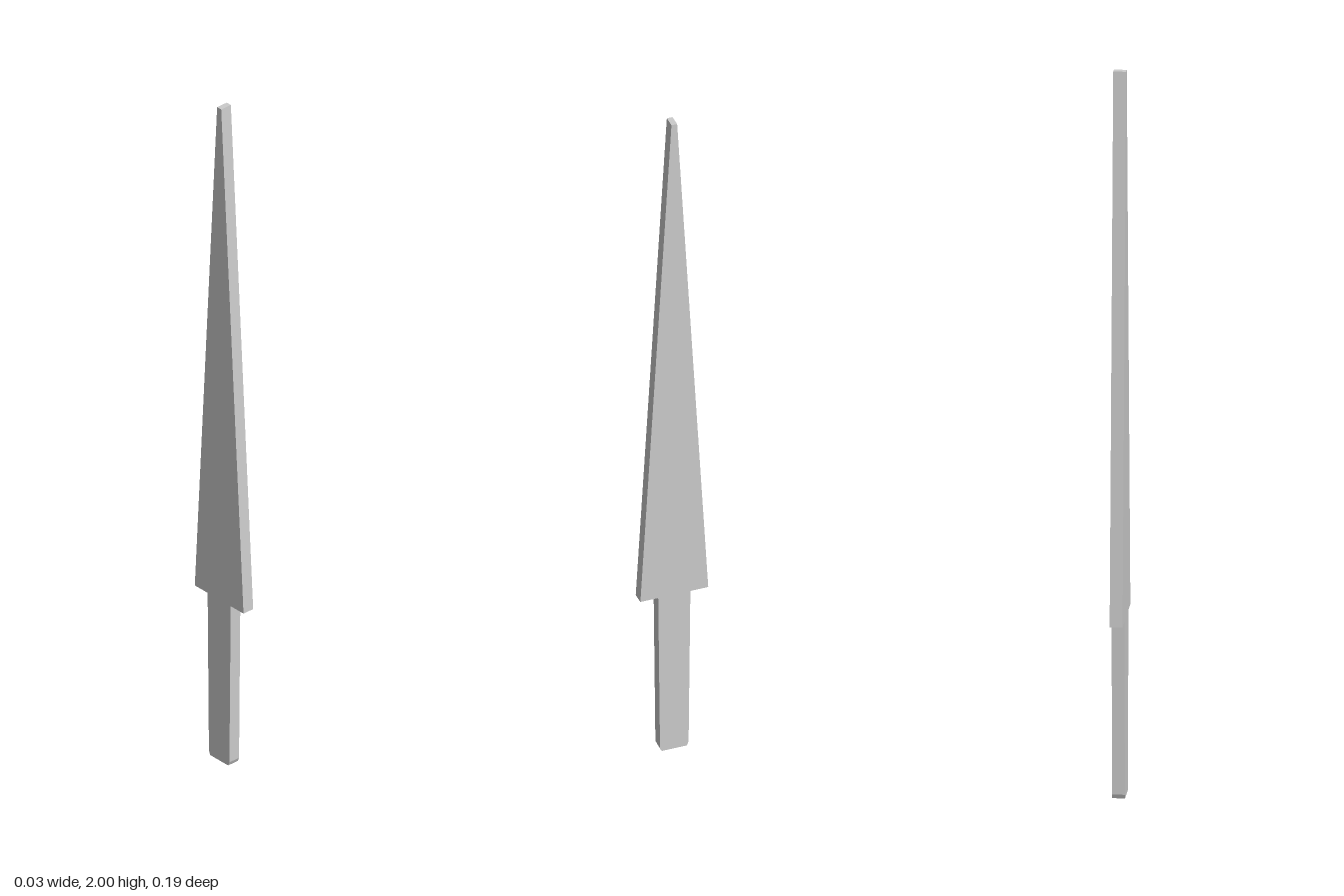
import * as THREE from 'three';

export function createModel() {
  const group = new THREE.Group();
  const thickness = 0.034;

  // Half outline as [half width, height], from the tang's foot to the blunt tip
  const half = [
    [0.035, 0], [0.04, 0.012], [0.045, 0.493], // tang with a chamfered foot
    [0.095, 0.493], [0.008, 2], // shoulder and tapering blade
  ];
  const mirrored = half.map(([w, y]) => [-w, y]).reverse();
  const shape = new THREE.Shape([...half, ...mirrored].map(([w, y]) => new THREE.Vector2(w, y)));

  // Flat plate, turned so its width runs along z
  const geometry = new THREE.ExtrudeGeometry(shape, { depth: thickness, bevelEnabled: false });
  geometry.translate(0, 0, -thickness / 2);
  geometry.rotateY(-Math.PI / 2);

  const blade = new THREE.Mesh(
    geometry,
    new THREE.MeshStandardMaterial({ color: 0xcccccc, flatShading: true })
  );
  blade.name = 'bladeWithTang';
  group.add(blade);
  return group;
}
